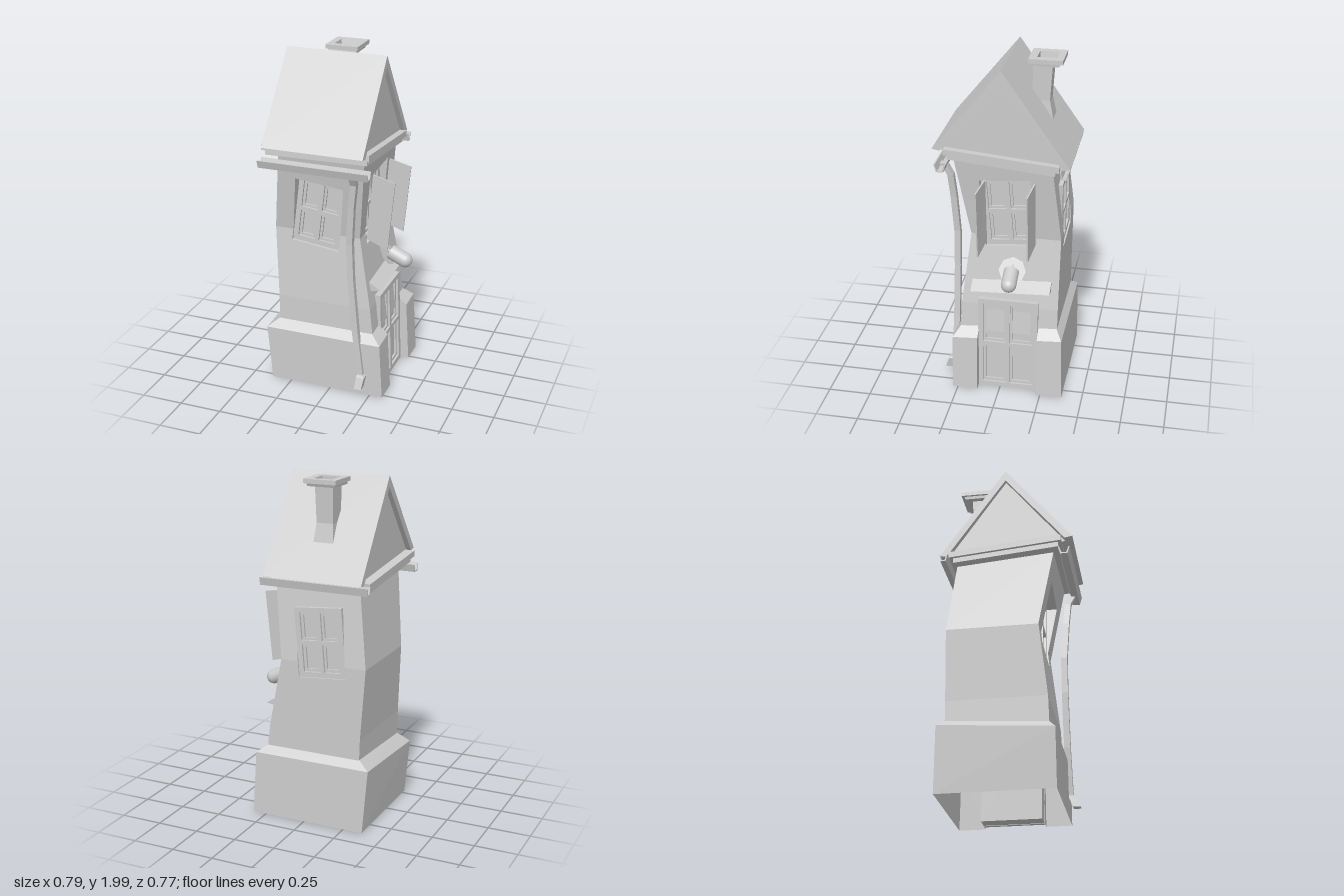
import * as THREE from 'three';

const mat = new THREE.MeshStandardMaterial({ color: 0xcccccc, flatShading: true });
const openMat = new THREE.MeshStandardMaterial({ color: 0xcccccc, flatShading: true, side: THREE.DoubleSide });
const smoothMat = new THREE.MeshStandardMaterial({ color: 0xcccccc });

function add(parent, name, geometry, material = mat) {
  const mesh = new THREE.Mesh(geometry, material);
  mesh.name = name;
  parent.add(mesh);
  return mesh;
}

function group(parent, name) {
  const g = new THREE.Group();
  g.name = name;
  parent.add(g);
  return g;
}

// Skin over closed cross-sections; capped ends must be convex
function loft(rings, caps = true) {
  const n = rings[0].length, last = (rings.length - 1) * n, index = [];
  for (let i = 0; i < rings.length - 1; i++) {
    for (let j = 0; j < n; j++) {
      const a = i * n + j, b = i * n + (j + 1) % n;
      index.push(a, b, b + n, a, b + n, a + n);
    }
  }
  if (caps) for (let j = 1; j < n - 1; j++) index.push(0, j + 1, j, last, last + j, last + j + 1);
  const g = new THREE.BufferGeometry();
  g.setAttribute('position', new THREE.Float32BufferAttribute(rings.flat(2), 3));
  g.setIndex(index);
  g.computeVertexNormals();
  return g;
}

// Horizontal rectangle used as a cross-section
const square = (x, y, z, hx, hz = hx) =>
  [[x + hx, y, z + hz], [x + hx, y, z - hz], [x - hx, y, z - hz], [x - hx, y, z + hz]];

const shapeOf = pts => new THREE.Shape(pts.map(p => new THREE.Vector2(p[0], p[1])));
const extrude = (shape, depth) => new THREE.ExtrudeGeometry(shape, { depth, bevelEnabled: false });
// Extrude a (-z, y) outline along x
const extrudeX = (pts, x0, x1) => extrude(shapeOf(pts), x1 - x0).translate(0, 0, x0).rotateY(Math.PI / 2);

// Four-pane lattice
function lattice(w, h, outer, bar, depth) {
  const s = shapeOf([[-w / 2, -h / 2], [w / 2, -h / 2], [w / 2, h / 2], [-w / 2, h / 2]]);
  for (const sx of [-1, 1]) for (const sy of [-1, 1]) {
    const x0 = sx * bar, x1 = sx * (w / 2 - outer), y0 = sy * bar, y1 = sy * (h / 2 - outer);
    s.holes.push(new THREE.Path([[x0, y0], [x1, y0], [x1, y1], [x0, y1]].map(p => new THREE.Vector2(...p))));
  }
  return extrude(s, depth);
}

function panes(parent, name, w, h, border) {
  const g = group(parent, name);
  add(g, name + 'Panel', new THREE.PlaneGeometry(w, h), openMat);
  add(g, name + 'InnerFrame', lattice(w, h, border + 0.016, 0.026, 0.012));
  add(g, name + 'Frame', lattice(w, h, border, 0.012, 0.026));
  return g;
}

// Crooked wall outline at each level
const Y = [0.38, 0.55, 0.97, 1.46];
const xl = [-0.33, -0.335, -0.367, -0.305], xr = [0.255, 0.235, 0.155, 0.21];
const zf = [0.24, 0.235, 0.19, 0.275], zb = [-0.335, -0.335, -0.335, -0.283];
const neg = a => a.map(v => -v);

// One wall in its own facing; L and R bound it sideways, D is its distance outward
function wall(parent, name, turn, L, R, D, win) {
  const g = group(parent, name);
  g.rotation.y = turn;
  const depth = y => {
    const i = y < Y[1] ? 0 : y < Y[2] ? 1 : 2;
    return D[i] + (D[i + 1] - D[i]) * (y - Y[i]) / (Y[i + 1] - Y[i]);
  };
  const bands = [0, 1, 2].map(i => [[L[i], Y[i]], [R[i], Y[i]], [R[i + 1], Y[i + 1]], [L[i + 1], Y[i + 1]]]);
  if (win) {
    const { u, y, w, h, tilt } = win, c = Math.cos(tilt), s = Math.sin(tilt);
    const corner = (a, b) => [u + a * w / 2 * c - b * h / 2 * s, y + a * w / 2 * s + b * h / 2 * c];
    const tl = corner(-1, 1), tr = corner(1, 1), bl = corner(-1, -1), br = corner(1, -1);
    const cross = (p, q) => [p[0] + (q[0] - p[0]) * (Y[2] - p[1]) / (q[1] - p[1]), Y[2]];
    const ml = cross(bl, tl), mr = cross(br, tr);
    // Notch the two bands that the window crosses
    bands[1].splice(3, 0, mr, br, bl, ml);
    bands[2].splice(1, 0, ml, tl, tr, mr);
    const hole = [tl, ml, bl, br, mr, tr], back = D[2] - 0.035;
    add(g, name + 'WindowReveal', loft([
      hole.map(p => [...p, back]), hole.map(p => [...p, depth(p[1])])], false), openMat);
    const frame = panes(g, name + 'Window', w, h, 0.03);
    frame.position.set(u, y, back);
    frame.rotation.z = tilt;
  }
  bands.forEach((b, i) => {
    const geo = new THREE.ShapeGeometry(shapeOf(b)), p = geo.attributes.position;
    for (let k = 0; k < p.count; k++) p.setZ(k, depth(p.getY(k)));
    geo.computeVertexNormals();
    add(g, name + 'Band' + i, geo, openMat);
  });
}

export function createModel() {
  const house = new THREE.Group();
  house.name = 'crookedHouse';

  // Plinth with a gap for the door
  const plinth = (r, l, f, b, niche, y, tilt) => [[r, f], [r, 0.13], [niche, 0.13], [niche, -0.225],
    [r, -0.225], [r, b], [l, b], [l, f]].map(([x, z]) => [x, y - tilt * (z - f), z]);
  add(house, 'plinth', loft([
    plinth(0.33, -0.37, 0.28, -0.38, 0.23, 0.01, 0),
    plinth(0.31, -0.4, 0.28, -0.37, 0.23, 0.345, 0.065),
    plinth(0.25, -0.332, 0.238, -0.333, 0.23, 0.4, 0.06)], false), openMat);

  // Walls
  const H = Math.PI / 2;
  const frontWin = { u: -0.095, y: 1.09, w: 0.29, h: 0.405, tilt: -0.12 };
  wall(house, 'frontWall', 0, xl, xr, zf, frontWin);
  wall(house, 'doorWall', H, neg(zf), neg(zb), xr, { u: 0.03, y: 1.127, w: 0.295, h: 0.425, tilt: 0.08 });
  wall(house, 'backWall', 2 * H, neg(xr), neg(xl), neg(zb), { ...frontWin, u: 0.085, tilt: 0.08 });
  wall(house, 'plainWall', -H, zb, zf, neg(xl));

  // Door
  const doorSide = group(house, 'doorSide');
  doorSide.rotation.y = H;
  const door = panes(doorSide, 'door', 0.355, 0.59, 0.03);
  door.position.set(0.045, 0.302, 0.245);
  door.rotation.x = -0.03;
  add(door, 'doorBlock', new THREE.BoxGeometry(0.35, 0.585, 0.1)).position.z = -0.051;

  // Canopy above the door
  const canopy = (z, dy) => [[0.17, 0.72 + dy, z], [0.185, 0.637 + dy, z], [0.278, 0.652 + dy, z]];
  add(house, 'doorCanopy', loft([canopy(-0.29, 0.022), canopy(0.175, 0)]));

  // Shutters standing open
  for (const [name, z0, z1] of [['frontShutter', 0.1, 0.125], ['backShutter', -0.185, -0.165]]) {
    const sheet = dz => [[0.2, 1.335, z0 + dz], [0.165, 0.935, z0 + dz], [0.3, 0.895, z1 + dz], [0.34, 1.31, z1 + dz]];
    add(house, name, loft([sheet(-0.004), sheet(0.004)]));
  }

  // Lamp
  const lamp = group(house, 'lamp');
  lamp.position.set(0.255, 0.8, -0.065);
  lamp.rotation.z = -2;
  add(lamp, 'lampBody', new THREE.CylinderGeometry(0.044, 0.044, 0.1, 24), smoothMat).position.y = 0.05;
  add(lamp, 'lampTip', new THREE.SphereGeometry(0.044, 24, 10, 0, 2 * Math.PI, 0, H), smoothMat).position.y = 0.1;
  add(lamp, 'lampArm', new THREE.CylinderGeometry(0.006, 0.006, 0.11, 6)).position.y = -0.055;
  const plate = group(house, 'lampPlate');
  plate.position.set(0.235, 0.79, -0.065);
  plate.rotation.z = 0.5;
  add(plate, 'lampPlateDisc', new THREE.CircleGeometry(0.08, 8)).rotation.y = H;

  // Cornice
  const cornice = group(house, 'cornice');
  cornice.position.set(-0.066, 1.46, 0);
  cornice.rotation.set(-0.09, 0, 0.015);
  add(cornice, 'upperCornice', new THREE.BoxGeometry(0.64, 0.035, 0.655)).position.y = 0.016;
  add(cornice, 'lowerCornice', new THREE.BoxGeometry(0.605, 0.03, 0.615)).position.y = -0.016;

  // Gutters
  for (const [name, z, y, hw] of [['frontGutter', 0.343, 1.39, 0.034], ['backGutter', -0.358, 1.4, 0.026]]) {
    const c = -z, t = 0.007, top = y + 0.045;
    add(house, name, extrudeX([[c - hw, top], [c - hw * 0.6, y], [c + hw * 0.6, y], [c + hw, top],
      [c + hw - t, top], [c + hw * 0.6 - t, y + t], [c - hw * 0.6 + t, y + t], [c - hw + t, top]], -0.392, 0.262));
  }

  // Downpipe, from the outlet up to the gutter
  add(house, 'downpipe', loft([[0.2, 0.075, 0.325, 0.022], [0.207, 0.14, 0.3, 0.024], [0.2, 0.15, 0.288, 0.017],
    [0.165, 0.42, 0.28, 0.018], [0.135, 0.75, 0.276, 0.018], [0.127, 0.97, 0.276, 0.018], [0.142, 1.2, 0.29, 0.018],
    [0.16, 1.34, 0.302, 0.018], [0.165, 1.41, 0.34, 0.02]].map(p => square(...p))));

  // Roof and recessed gables
  add(house, 'roof', extrudeX([[-0.39, 1.52], [-0.345, 1.512], [0, 1.935], [0.345, 1.448], [0.385, 1.455], [0, 2]],
    -0.357, 0.24));
  add(house, 'gables', extrudeX([[-0.345, 1.505], [0.345, 1.44], [0, 1.937]], -0.33, 0.213));

  // Chimney with a hollow, flared cap
  add(house, 'chimney', loft([[-0.07, 1.52, -0.2, 0.075], [-0.07, 1.64, -0.192, 0.06], [-0.07, 1.75, -0.18, 0.05],
    [-0.072, 1.955, -0.188, 0.055], [-0.072, 1.957, -0.2, 0.082], [-0.072, 1.975, -0.206, 0.084],
    [-0.072, 1.975, -0.208, 0.097], [-0.072, 2, -0.208, 0.097], [-0.075, 2, -0.21, 0.055],
    [-0.075, 1.965, -0.205, 0.05]].map(p => square(...p))));

  return house;
}
